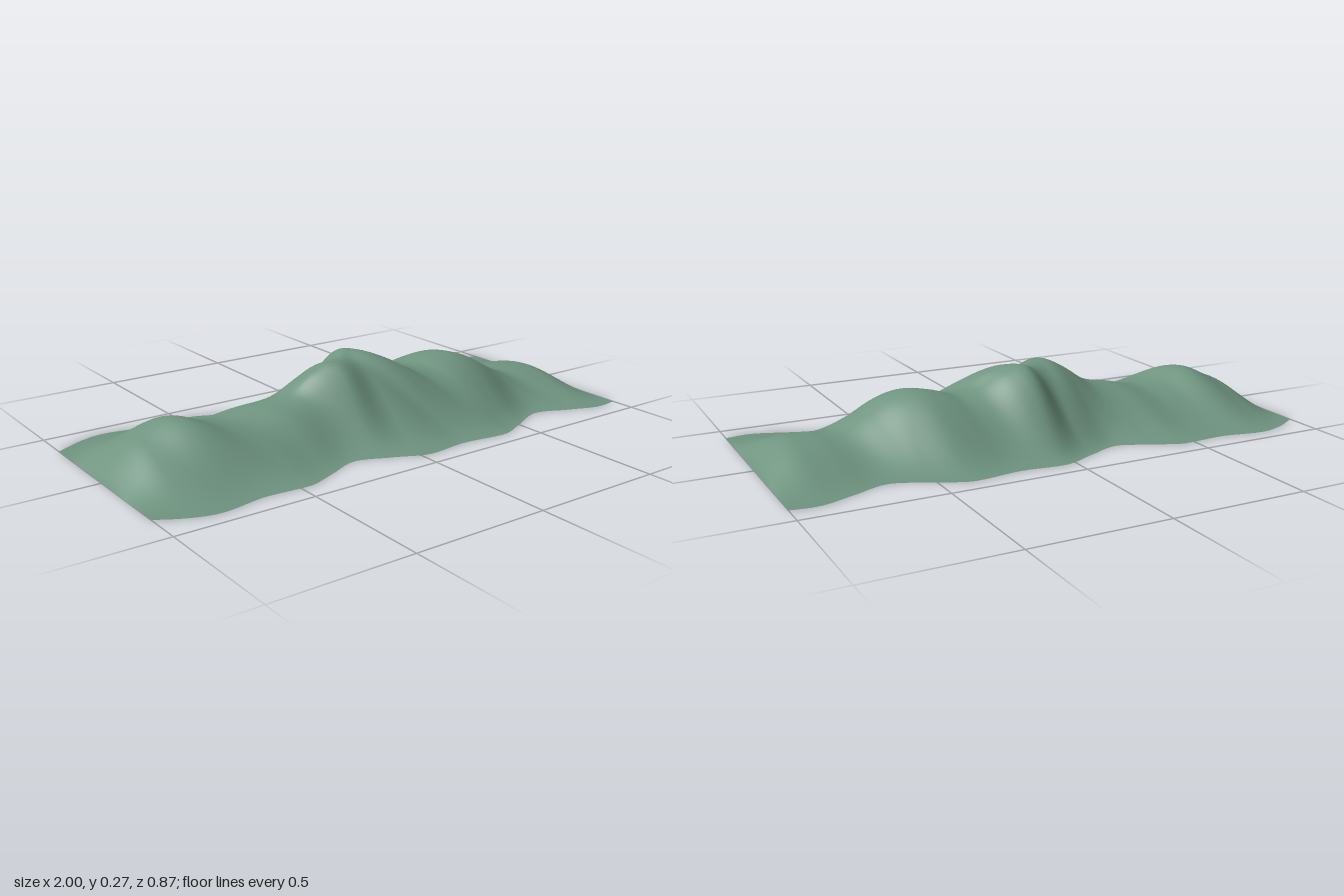
import * as THREE from 'three';

// Smooth curve through [x, value] points, level at peaks and dips, clamped at both ends
function curve(points) {
  const n = points.length;
  const secant = (k) => (points[k + 1][1] - points[k][1]) / (points[k + 1][0] - points[k][0]);
  const slopes = points.map((_, k) => {
    if (k === 0 || k === n - 1) return secant(Math.min(k, n - 2));
    const a = secant(k - 1), b = secant(k);
    return a * b <= 0 ? 0 : (a + b) / 2;
  });
  return (x) => {
    if (x <= points[0][0]) return points[0][1];
    if (x >= points[n - 1][0]) return points[n - 1][1];
    let i = 0;
    while (x > points[i + 1][0]) i++;
    const [x0, y0] = points[i], [x1, y1] = points[i + 1];
    const d = x1 - x0, t = (x - x0) / d, t2 = t * t, t3 = t2 * t;
    return y0 * (2 * t3 - 3 * t2 + 1) + y1 * (3 * t2 - 2 * t3)
      + d * (slopes[i] * (t3 - 2 * t2 + t) + slopes[i + 1] * (t3 - t2));
  };
}

// Height of the crest along its length
const crestHeight = curve([
  [-1, 0.07], [-0.95, 0.085], [-0.85, 0.118], [-0.72, 0.168], [-0.6, 0.13], [-0.52, 0.12],
  [-0.4, 0.143], [-0.27, 0.17], [-0.17, 0.235], [-0.1, 0.262], [-0.03, 0.253], [0.03, 0.272],
  [0.1, 0.25], [0.2, 0.195], [0.27, 0.184], [0.35, 0.203], [0.42, 0.213], [0.5, 0.195],
  [0.6, 0.142], [0.7, 0.094], [0.8, 0.092], [0.87, 0.089], [0.95, 0.084], [1, 0.08],
]);

// Sideways wander of the crest
const crestZ = curve([
  [-1, 0.01], [-0.72, 0], [-0.45, 0], [-0.25, 0.02], [-0.1, 0.03], [0.03, -0.06],
  [0.2, -0.04], [0.42, 0], [0.6, 0.01], [0.8, 0.02], [1, 0.02],
]);

// Half width of the wavy footprint
const halfWidth = curve([
  [-1, 0.357], [-0.9, 0.412], [-0.8, 0.437], [-0.62, 0.41], [-0.47, 0.419], [-0.35, 0.378],
  [-0.22, 0.328], [-0.1, 0.372], [0.05, 0.428], [0.2, 0.413], [0.38, 0.432], [0.5, 0.388],
  [0.65, 0.328], [0.78, 0.375], [0.92, 0.418], [1, 0.408],
]);

function heightAt(x, z) {
  const w = halfWidth(x), c = crestZ(x), d = z - c;
  const u = Math.min(1, d > 0 ? d / (w - c) : -d / (w + c));
  const bell = 0.5 + 0.5 * Math.cos(Math.PI * u);
  const taper = Math.pow(Math.sin(Math.min(1, (1 - Math.abs(x)) / 0.14) * Math.PI / 2), 0.75);
  // Shearing the crest makes the spurs run diagonally, more so on the front slope
  const shear = (d > 0 ? 0.7 : 0.25) * (1 - x * x);
  return crestHeight(x - shear * d) * bell * taper;
}

// Grid over the footprint, facing up or down
function sheet(columns, rows, height, up) {
  const geometry = new THREE.PlaneGeometry(2, 2, columns, rows);
  const p = geometry.attributes.position;
  for (let i = 0; i < p.count; i++) {
    const x = p.getX(i), z = (up ? -1 : 1) * p.getY(i) * halfWidth(x);
    p.setXYZ(i, x, height(x, z), z);
  }
  geometry.computeVertexNormals();
  return geometry;
}

export function createModel() {
  const group = new THREE.Group();
  group.name = 'mountainRidge';
  const green = new THREE.MeshStandardMaterial({ color: 0x6f9480 });
  green.name = 'sageGreen';

  // Rolling ridge surface
  const slopes = new THREE.Mesh(sheet(200, 56, heightAt, true), green);
  slopes.name = 'ridgeSlopes';

  // Flat underside
  const base = new THREE.Mesh(sheet(200, 1, () => 0, false), green);
  base.name = 'ridgeBase';

  group.add(slopes, base);
  return group;
}
